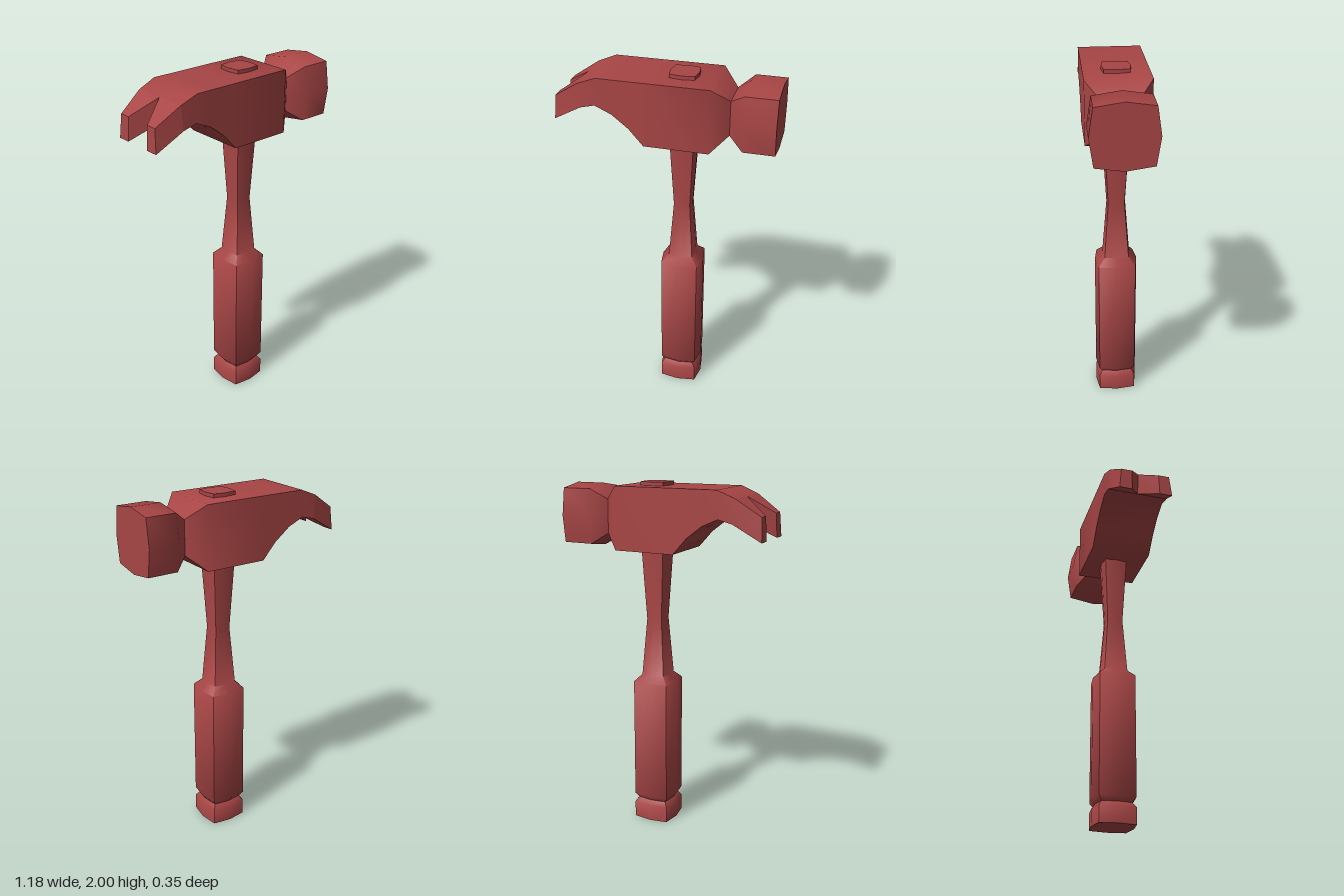
import * as THREE from 'three';
import { toCreasedNormals } from 'three/addons/utils/BufferGeometryUtils.js';

const CREASE = 0.9;

// Skins a row of equal-length point rings, each running counter-clockwise about the direction of travel.
function loft(rings, capStart, capEnd) {
  const n = rings[0].length;
  const pos = [];
  const tri = (...points) => points.forEach((p) => pos.push(...p));
  for (let i = 0; i < rings.length - 1; i++) {
    for (let j = 0; j < n; j++) {
      const k = (j + 1) % n;
      const a = rings[i][j], b = rings[i][k], c = rings[i + 1][k], d = rings[i + 1][j];
      tri(a, b, c);
      tri(a, c, d);
    }
  }
  const first = rings[0], last = rings[rings.length - 1];
  for (let j = 1; j < n - 1; j++) {
    if (capStart) tri(first[0], first[j + 1], first[j]);
    if (capEnd) tri(last[0], last[j], last[j + 1]);
  }
  const geometry = new THREE.BufferGeometry();
  geometry.setAttribute('position', new THREE.Float32BufferAttribute(pos, 3));
  geometry.computeVertexNormals();
  return toCreasedNormals(geometry, CREASE);
}

// Square with bulged sides: c is the corner distance, 1 gives a true square
const bulgedSquare = (c) => [[1, 0], [c, c], [0, 1], [-c, c], [-1, 0], [-c, -c], [0, -1], [c, -c]];

export function createModel() {
  const group = new THREE.Group();
  group.name = 'hammer';
  const material = new THREE.MeshStandardMaterial({ color: 0xa84545 });
  const add = (name, geometry) => {
    const mesh = new THREE.Mesh(geometry, material);
    mesh.name = name;
    group.add(mesh);
  };

  // Handle: grip with groove, waisted shaft and stub above the head, as [y, half width]
  const handleX = 0.078;
  const handle = [
    [0, 0.12], [0.095, 0.12], [0.122, 0.099], [0.15, 0.12], [0.86, 0.12],
    [0.9, 0.078], [1.23, 0.052], [1.63, 0.076], [2, 0.078],
  ].map(([y, r]) => bulgedSquare(0.87).map(([z, x]) => [handleX + x * r, y, z * r]));
  add('handle', loft(handle, true, true));

  // Head from claw root to striking face:
  // [top x, top y, bottom x, bottom y, top half depth, bottom half depth, corner]
  const head = [
    [-0.45, 1.94, -0.44, 1.81, 0.168, 0.175, 1],
    [-0.35, 1.98, -0.36, 1.83, 0.175, 0.175, 1],
    [-0.27, 1.98, -0.27, 1.79, 0.175, 0.175, 1],
    [-0.18, 1.98, -0.18, 1.72, 0.175, 0.175, 1],
    [-0.1, 1.98, -0.1, 1.63, 0.175, 0.175, 1],
    [0.25, 1.98, 0.25, 1.63, 0.175, 0.175, 1],
    [0.34, 1.9, 0.34, 1.71, 0.095, 0.095, 1],
    [0.42, 1.98, 0.42, 1.63, 0.175, 0.175, 0.87],
    [0.59, 1.98, 0.59, 1.63, 0.175, 0.175, 0.87],
  ].map(([tx, ty, bx, by, th, bh, c]) => bulgedSquare(c).map(([v, w]) => {
    const t = (v + 1) / 2;
    return [bx + (tx - bx) * t, by + (ty - by) * t, w * (bh + (th - bh) * t)];
  }));
  add('head', loft(head, false, true));

  // Two claw prongs, either side of the V notch
  for (const side of [1, -1]) {
    const prong = [
      [[-0.587, 1.85, 0.14], [-0.595, 1.72, 0.152], [-0.595, 1.72, 0.08], [-0.587, 1.85, 0.078]],
      [[-0.45, 1.94, 0.168], [-0.44, 1.81, 0.175], [-0.44, 1.81, 0], [-0.45, 1.94, 0]],
    ].map((ring) => {
      const points = ring.map(([x, y, z]) => [x, y, z * side]);
      return side > 0 ? points : points.reverse();
    });
    add(side > 0 ? 'frontClaw' : 'backClaw', loft(prong, true, false));
  }
  return group;
}
